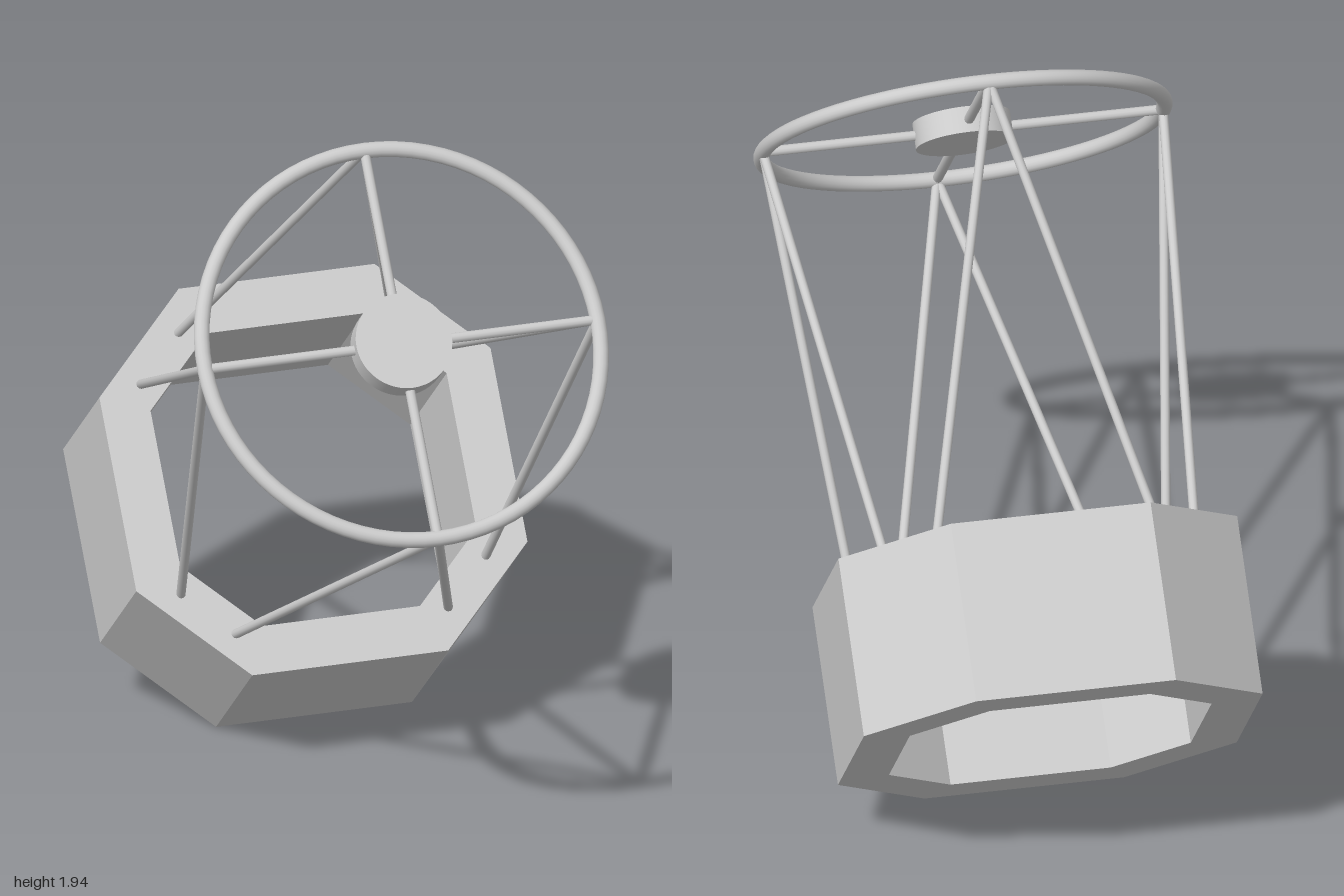
import * as THREE from 'three';

const mat = new THREE.MeshStandardMaterial({ color: 0xcccccc });
const flatMat = new THREE.MeshStandardMaterial({ color: 0xcccccc, flatShading: true });

const RING_R = 0.537, RING_Z = 1.177; // top ring radius and distance above the box rim
const BOX_DEPTH = 0.485;

function add(parent, name, geometry, material = mat) {
  const mesh = new THREE.Mesh(geometry, material);
  mesh.name = name;
  parent.add(mesh);
  return mesh;
}

// Round rod between two points
function rod(parent, name, a, b, radius) {
  const dir = b.clone().sub(a);
  const mesh = add(parent, name, new THREE.CylinderGeometry(radius, radius, dir.length(), 12));
  mesh.position.copy(a).add(b).multiplyScalar(0.5);
  mesh.quaternion.setFromUnitVectors(new THREE.Vector3(0, 1, 0), dir.normalize());
}

// Square with half-width h whose corners are cut off, leaving flat edges of half-length e
function cutSquare(h, e) {
  return [[e, h], [-e, h], [-h, e], [-h, -e], [-e, -h], [e, -h], [h, -e], [h, e]]
    .map(([x, y]) => new THREE.Vector2(x, y));
}

export function createModel() {
  const model = new THREE.Group();
  model.name = 'trussTelescope';

  // Tilted tube assembly: local +z is the pointing axis, origin at the box rim
  const tube = new THREE.Group();
  tube.name = 'tubeAssembly';
  tube.rotation.set(-0.745, 0.247, 0, 'YXZ');
  tube.position.set(-0.057, 0.724, -0.24);
  model.add(tube);

  // Eight-sided open mirror box
  const shape = new THREE.Shape(cutSquare(0.535, 0.268));
  shape.holes.push(new THREE.Path(cutSquare(0.405, 0.215)));
  const box = new THREE.ExtrudeGeometry(shape, { depth: BOX_DEPTH, bevelEnabled: false });
  box.translate(0, 0, -BOX_DEPTH);
  add(tube, 'mirrorBox', box, flatMat);

  // Top ring
  const ring = add(tube, 'topRing', new THREE.TorusGeometry(RING_R, 0.021, 16, 80));
  ring.position.z = RING_Z;

  // Central hub
  const hub = add(tube, 'hub', new THREE.CylinderGeometry(0.13, 0.13, 0.07, 48));
  hub.rotation.x = Math.PI / 2;
  hub.position.z = RING_Z;

  // Each quarter: one spoke, and a pair of struts spreading to the box corners
  for (let i = 0; i < 4; i++) {
    const quarter = new THREE.Group();
    quarter.name = 'trussQuarter';
    quarter.rotation.z = i * Math.PI / 2;
    tube.add(quarter);
    const top = new THREE.Vector3(RING_R, 0, RING_Z);
    rod(quarter, 'spoke', new THREE.Vector3(0.1, 0, RING_Z), top, 0.0135);
    for (const s of [-1, 1]) {
      rod(quarter, 'strut', new THREE.Vector3(0.415, s * 0.295, -0.02), top, 0.0125);
    }
  }
  return model;
}
